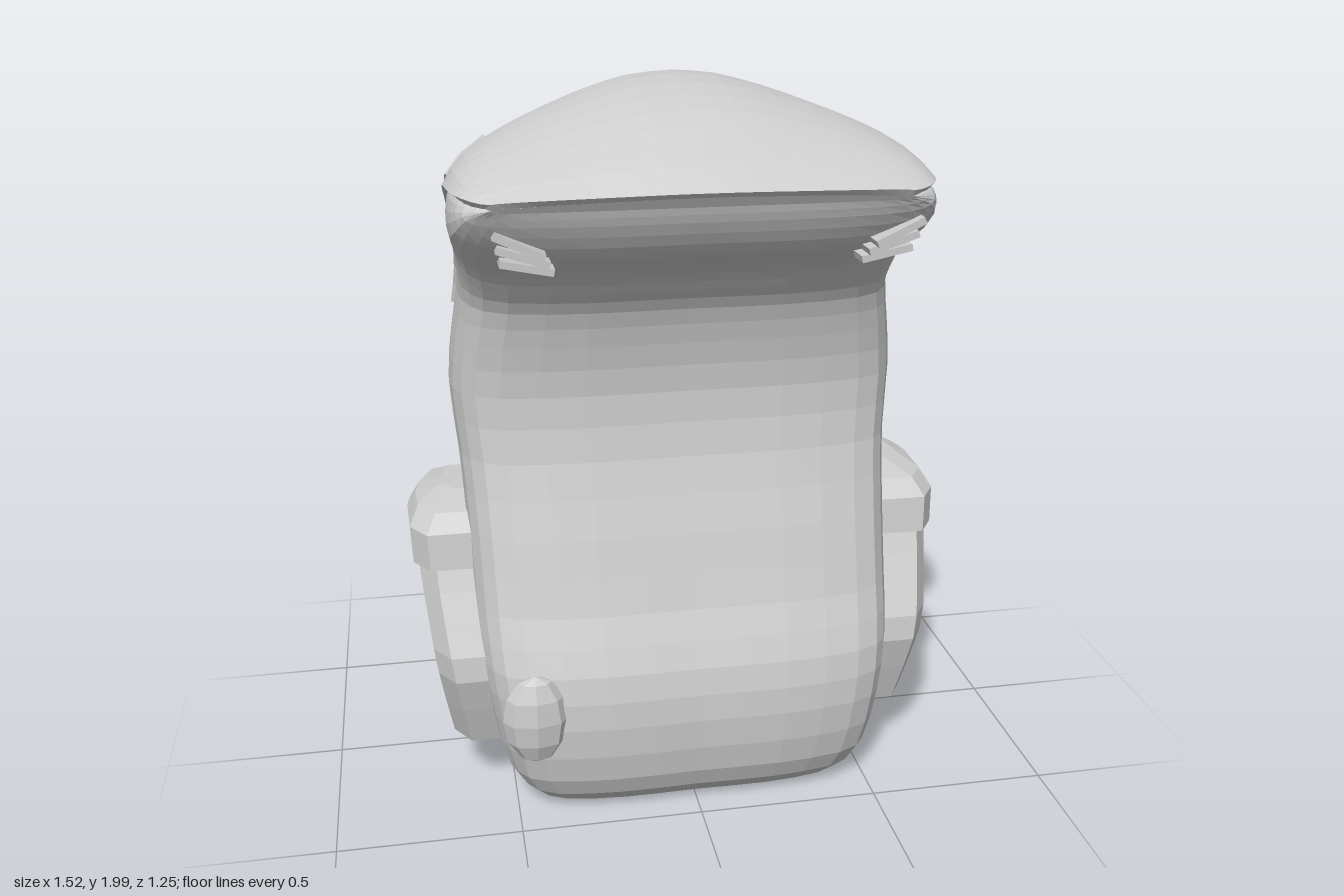
import * as THREE from 'three';

const V = (x, y, z = 0) => new THREE.Vector3(x, y, z);
const grey = new THREE.MeshStandardMaterial({ color: 0xcccccc, flatShading: true, side: THREE.DoubleSide });

// Bag sections: front point (z, y), back point (z, y), half width
const sections = [
  [0.34, 0.01, -0.25, 0.02, 0.40], [0.42, 0.03, -0.32, 0.05, 0.46], [0.48, 0.13, -0.35, 0.13, 0.52],
  [0.50, 0.30, -0.36, 0.30, 0.555], [0.48, 0.45, -0.38, 0.45, 0.575], [0.42, 0.60, -0.43, 0.60, 0.585],
  [0.36, 0.80, -0.48, 0.80, 0.59], [0.30, 1.00, -0.53, 1.00, 0.60], [0.28, 1.18, -0.55, 1.20, 0.615],
  [0.30, 1.32, -0.54, 1.35, 0.60], [0.33, 1.42, -0.49, 1.54, 0.58], [0.37, 1.48, -0.37, 1.70, 0.58],
  [0.41, 1.53, -0.20, 1.87, 0.59], [0.46, 1.57, 0.00, 1.965, 0.60], [0.51, 1.60, 0.20, 1.98, 0.60],
  [0.55, 1.64, 0.40, 1.93, 0.59], [0.585, 1.70, 0.54, 1.84, 0.565], [0.60, 1.74, 0.615, 1.765, 0.51],
];
const last = sections.length - 1;
const curve = pts => new THREE.CatmullRomCurve3(pts, false, 'catmullrom', 0.5);
const frontCurve = curve(sections.map(q => V(q[0], q[1], q[4])));
const backCurve = curve(sections.map(q => V(q[2], q[3])));
// Half outlines from back centre to front centre: x share, depth share (+x side and lid, -x side)
const frontCorner = [[0.975, 0.135], [0.84, 0.038], [0.47, 0.003], [0, 0.005]];
const [fullOutline, flatOutline] = [
  [[0, 1], [0.17, 0.98], [0.36, 0.91], [0.54, 0.82], [0.72, 0.715], [0.88, 0.59], [0.97, 0.45], [1, 0.29]],
  [[0, 1], [0.15, 0.97], [0.31, 0.88], [0.47, 0.77], [0.65, 0.655], [0.84, 0.53], [0.96, 0.41], [1, 0.27]],
].map(half => curve([...half, ...frontCorner].map(p => V(...p))));

// Point on the bag: s runs 0..1 from base to lip, t runs -1..1 around the back
function skin(s, t) {
  const f = frontCurve.getPoint(s), b = backCurve.getPoint(s), o = fullOutline.getPoint(Math.abs(t));
  if (t < 0) o.lerp(flatOutline.getPoint(-t), 1 - THREE.MathUtils.smoothstep(s, 0.52, 0.74));
  return V(Math.sign(t) * o.x * f.z - 0.022 * s, f.y + (b.y - f.y) * o.y, f.x + (b.x - f.x) * o.y);
}

function raised(s, t, d) {
  const e = 0.004, s0 = Math.min(s, 1 - e), t0 = Math.min(t, 1 - e);
  const p = skin(s0, t0);
  const n = skin(s0 + e, t0).sub(p).cross(skin(s0, t0 + e).sub(p)).normalize();
  return skin(s, t).addScaledVector(n, d);
}

function bisect(test) {
  let lo = 0, hi = 1;
  for (let i = 0; i < 24; i++) {
    const m = (lo + hi) / 2;
    if (test(m)) lo = m; else hi = m;
  }
  return lo;
}

// Surface coordinates of the +x side point seen at (z, y)
function locate(z, y) {
  const s = bisect(m => {
    const f = frontCurve.getPoint(m), b = backCurve.getPoint(m);
    return (b.x - f.x) * (y - f.y) - (b.y - f.y) * (z - f.x) < 0;
  });
  const f = frontCurve.getPoint(s), d = backCurve.getPoint(s).sub(f).setZ(0);
  const u = ((z - f.x) * d.x + (y - f.y) * d.y) / d.lengthSq();
  return [s, bisect(m => fullOutline.getPoint(m).y > u)];
}

// Mesh from rows of points
function rowsMesh(name, rows) {
  const n = rows[0].length, index = [];
  for (let i = 0; i < rows.length - 1; i++) for (let j = 0; j < n - 1; j++) {
    const a = i * n + j, b = a + n;
    index.push(a, b, b + 1, a, b + 1, a + 1);
  }
  const geo = new THREE.BufferGeometry().setFromPoints(rows.flat());
  geo.setIndex(index);
  geo.computeVertexNormals();
  const mesh = new THREE.Mesh(geo, grey);
  mesh.name = name;
  return mesh;
}

// Close both ends of a stack of rings
function capped(rows) {
  const centre = r => {
    const c = r.reduce((a, p) => a.add(p), V(0, 0)).divideScalar(r.length);
    return r.map(() => c.clone());
  };
  return [centre(rows[0]), ...rows, centre(rows[rows.length - 1])];
}

// Thick panel lying on the bag; at(u, v, lift) gives its points, the rim is sunk
function panel(name, at, nu, nv, lift) {
  const rows = [];
  for (let i = -1; i <= nu + 1; i++) {
    const row = [];
    for (let j = -1; j <= nv + 1; j++) {
      const rim = i < 0 || j < 0 || i > nu || j > nv;
      row.push(at(THREE.MathUtils.clamp(i / nu, 0, 1), THREE.MathUtils.clamp(j / nv, 0, 1), rim ? -0.01 : lift));
    }
    rows.push(row);
  }
  return rowsMesh(name, rows);
}

const patch = (name, s0, s1, t, nu, nv, lift) =>
  panel(name, (u, v, d) => raised(s0 + (s1 - s0) * u, t * (2 * v - 1), d), nu, nv, lift);

// Strap along a side path of (z, y) points, listed from bottom to top; the -x one sits further forward
const forward = side => (side > 0 ? 0 : 0.04);
function strap(name, pts, width, side, lift, n) {
  const path = curve(pts.map(([z, y]) => V(z + forward(side), y)));
  return panel(name, (u, v, d) => {
    const p = path.getPoint(u), g = path.getTangent(u), k = (side > 0 ? v - 0.5 : 0.5 - v) * width;
    const [s, t] = locate(p.x + g.y * k, p.y - g.x * k);
    return raised(s, t * side, d);
  }, n, 2, lift);
}

// Side pocket part from rows of y, front z, back z, outer x; the -x one is set forward
function pouch(name, rows, side) {
  const [df, db] = side > 0 ? [0, 0] : [0.02, 0.06];
  return rowsMesh(name, capped(rows.map(([y, front, back, x]) => {
    const zf = front + df, zb = back + db;
    const ring = [[0.45, zb], [x - 0.05, zb], [x - 0.012, zb + 0.09], [x, zb + 0.16], [x - 0.005, zf - 0.07],
      [x - 0.05, zf], [0.45, zf], [0.45, zb]].map(([px, pz]) => V(px * side, y, pz));
    return side > 0 ? ring : ring.reverse();
  })));
}

function box(name, w, h, d, x, y, z, rz = 0) {
  const m = new THREE.Mesh(new THREE.BoxGeometry(w, h, d), grey);
  m.name = name;
  m.position.set(x, y, z);
  m.rotation.z = rz;
  return m;
}

export function createModel() {
  const bag = new THREE.Group();
  bag.name = 'backpack';

  // Main bag with forward-curling top
  const rings = [];
  for (let i = 0; i <= last * 2; i++) {
    rings.push(Array.from({ length: 49 }, (_, j) => skin(i / last / 2, j / 24 - 1)));
  }
  bag.add(rowsMesh('mainBag', capped(rings)));

  // Lid shell and back pocket with its flap
  const height = y => locate(-0.25, y)[0];
  bag.add(patch('lid', height(1.385), 1, 0.56, 20, 24, 0.018));
  bag.add(patch('backPocket', height(0.84), height(1.24), 0.365, 6, 16, 0.06));
  bag.add(patch('backPocketFlap', height(1.17), height(1.25), 0.37, 2, 16, 0.075));
  bag.add(patch('backPocketTop', height(1.24), height(1.275), 0.35, 1, 16, 0.055));

  for (const side of [1, -1]) {
    // Compression straps and buckle
    bag.add(strap('upperStrap', [[-0.23, 1.36], [-0.14, 1.50], [-0.02, 1.66], [0.13, 1.79]], 0.10, side, 0.03, 10));
    bag.add(strap('lowerStrap', [[-0.09, 0.12], [-0.09, 0.30], [-0.12, 0.50], [-0.19, 0.72], [-0.235, 0.95],
      [-0.235, 1.25]], 0.085, side, 0.012, 16));
    const [s, t] = locate(-0.235 + forward(side), 1.28);
    const buckle = new THREE.Group();
    buckle.name = 'buckle';
    buckle.position.copy(raised(s, t * side, 0.02));
    buckle.lookAt(raised(s, t * side, 1));
    for (const k of [1, -1]) buckle.add(box('buckleSide', 0.018, 0.16, 0.035, k * 0.045, 0, 0));
    for (const y of [-0.07, -0.035, 0.07]) buckle.add(box('buckleBar', 0.10, 0.018, 0.035, 0, y, 0));
    buckle.add(box('buckleWeb', 0.08, 0.15, 0.015, 0, 0, 0));
    bag.add(buckle);

    // Side pocket and its cap
    bag.add(pouch('sidePocket', [[0.18, 0.27, -0.05, 0.67], [0.30, 0.305, -0.055, 0.69], [0.40, 0.33, -0.06, 0.705],
      [0.47, 0.32, -0.08, 0.715], [0.55, 0.28, -0.125, 0.725], [0.63, 0.24, -0.165, 0.735],
      [0.72, 0.20, -0.19, 0.74]], side));
    bag.add(pouch('sidePocketFlap', [[0.69, 0.22, -0.20, 0.755], [0.79, 0.205, -0.225, 0.76],
      [0.835, 0.16, -0.215, 0.735], [0.865, 0.06, -0.16, 0.68]], side));

    // Torn shoulder strap ends under the lip
    for (let i = 0; i < 3; i++) {
      bag.add(box('strapEnd', 0.13, 0.018, 0.07, side * (0.44 + 0.01 * i), 1.60 + 0.03 * i, 0.52 + 0.02 * i,
        side * (0.2 + 0.12 * i)));
    }
  }

  // Worn pad low on the front
  const pad = new THREE.Mesh(new THREE.SphereGeometry(1, 8, 6), grey);
  pad.name = 'frontPad';
  pad.scale.set(0.09, 0.13, 0.05);
  pad.position.set(-0.45, 0.34, 0.47);
  bag.add(pad);

  // Lashing rings on the back
  for (const [y, z] of [[0.72, -0.525], [0.19, -0.425]]) {
    const ring = new THREE.Mesh(new THREE.LatheGeometry([[0.04, -0.014], [0.056, -0.014], [0.056, 0.014],
      [0.04, 0.014], [0.04, -0.014]].map(p => new THREE.Vector2(...p)), 14), grey);
    ring.name = 'lashingRing';
    ring.position.set(0, y, z);
    bag.add(ring);
  }
  return bag;
}
